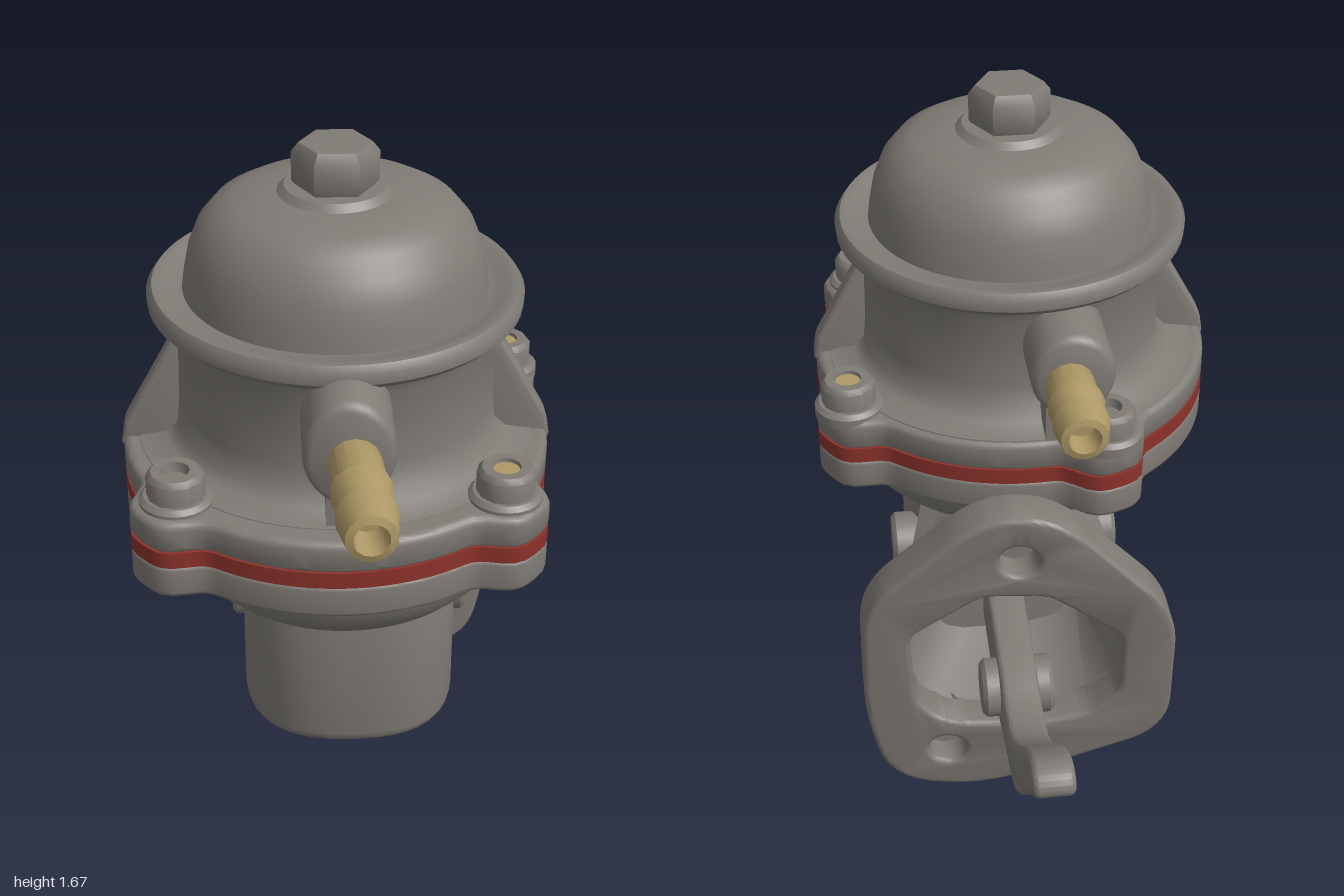
import * as THREE from 'three';
import { toCreasedNormals } from 'three/addons/utils/BufferGeometryUtils.js';

const V2 = (p) => new THREE.Vector2(p[0], p[1]);
const AX = -0.01, AZ = 0.215; // axis of the upper chamber
const FZ = 0.237; // axis of flange and bowl

// closed outline with rounded corners
function rounded(pts, r, Type = THREE.Shape) {
  const s = new Type(), n = pts.length;
  pts.forEach((p, i) => {
    const c = V2(p), a = V2(pts[(i + n - 1) % n]).sub(c), b = V2(pts[(i + 1) % n]).sub(c);
    a.setLength(Math.min(r, a.length() * 0.48)).add(c);
    b.setLength(Math.min(r, b.length() * 0.48)).add(c);
    if (i) s.lineTo(a.x, a.y); else s.moveTo(a.x, a.y);
    s.quadraticCurveTo(c.x, c.y, b.x, b.y);
  });
  s.closePath();
  return s;
}

// extrusion from z = 0 to depth, bevel kept inside the outline
function extrude(shape, depth, bevel = 0.012) {
  const g = new THREE.ExtrudeGeometry(shape, {
    depth: depth - 2 * bevel, bevelEnabled: bevel > 0, bevelSize: bevel, bevelThickness: bevel,
    bevelOffset: -bevel, bevelSegments: 4, curveSegments: 10,
  });
  return g.translate(0, 0, bevel);
}

const lathe = (pts, seg = 64) => new THREE.LatheGeometry(pts.map(V2), seg);

// skin over rings of [x, y, z] points, capped at both ends
function loft(rings) {
  const pos = [], n = rings[0].length;
  const cap = (ring, flip) => {
    const c = [0, 1, 2].map((k) => ring.reduce((s, p) => s + p[k], 0) / n);
    for (let i = 0; i < n; i++) {
      const a = ring[i], b = ring[(i + 1) % n];
      pos.push(...c, ...(flip ? b : a), ...(flip ? a : b));
    }
  };
  cap(rings[0], false);
  for (let k = 0; k + 1 < rings.length; k++) {
    for (let i = 0; i < n; i++) {
      const j = (i + 1) % n, [p, q] = [rings[k], rings[k + 1]];
      pos.push(...p[i], ...q[i], ...p[j], ...p[j], ...q[i], ...q[j]);
    }
  }
  cap(rings[rings.length - 1], true);
  const g = new THREE.BufferGeometry();
  g.setAttribute('position', new THREE.Float32BufferAttribute(pos, 3));
  return g;
}

export function createModel() {
  const model = new THREE.Group();
  const mat = (name, color) => Object.assign(new THREE.MeshStandardMaterial({ color }), { name });
  const metal = mat('cast grey metal', 0x7f7b75);
  const brass = mat('brass', 0xae9966);
  const red = mat('red gasket', 0x8c322b);

  const add = (name, geo, material = metal, x = 0, y = 0, z = 0) => {
    const m = new THREE.Mesh(toCreasedNormals(geo, 0.7), material);
    m.name = name;
    m.position.set(x, y, z);
    model.add(m);
    return m;
  };

  // lobed diaphragm flange in three layers
  const bolts = [[0.41, -0.265], [0.35, 0.305], [-0.35, 0.295], [-0.17, -0.455]];
  const lobed = [];
  for (let i = 0; i < 144; i++) {
    const t = (i / 144) * Math.PI * 2;
    let r = 0.478;
    for (const [x, z] of bolts) {
      const d = Math.atan2(Math.sin(t - Math.atan2(-z, x)), Math.cos(t - Math.atan2(-z, x)));
      r += 0.075 * Math.exp(-((d / 0.18) ** 4));
    }
    lobed.push(new THREE.Vector2(r * Math.cos(t), r * Math.sin(t)));
  }
  const layer = (name, y0, y1, bevel, material) => add(name,
    extrude(new THREE.Shape(lobed), y1 - y0, bevel).rotateX(-Math.PI / 2), material, AX, y0, FZ);
  layer('lowerFlange', 0.8, 0.882, 0.014, metal);
  layer('gasket', 0.878, 0.916, 0, red);
  layer('upperFlange', 0.912, 0.988, 0.018, metal);

  // bowl below the flange
  add('lowerBowl', lathe([[0, 0.6], [0.23, 0.61], [0.28, 0.628], [0.335, 0.658], [0.375, 0.7],
    [0.398, 0.75], [0.41, 0.82]]), metal, AX + 0.015, 0, FZ);

  // upper chamber with rim, then the dome cover
  add('upperChamber', lathe([[0.45, 0.96], [0.445, 0.99], [0.385, 1.0], [0.36, 1.025], [0.354, 1.08],
    [0.35, 1.25], [0.37, 1.29]]), metal, AX, 0, AZ);
  add('coverRim', lathe([[0.34, 1.29], [0.395, 1.295], [0.41, 1.31], [0.412, 1.335], [0.4, 1.352],
    [0.375, 1.352], [0.36, 1.34], [0.32, 1.34]]), metal, AX, 0, AZ);
  add('dome', lathe([[0.335, 1.33], [0.328, 1.38], [0.318, 1.43], [0.298, 1.48], [0.265, 1.52],
    [0.22, 1.545], [0.15, 1.555], [0.125, 1.557], [0.11, 1.572], [0, 1.575]]), metal, AX, 0, AZ);
  add('topNut', lathe([[0.08, 1.56], [0.094, 1.58], [0.094, 1.645], [0.078, 1.665], [0, 1.668]], 6)
    .rotateY(Math.PI / 6), metal, AX, 0, AZ);

  // triangular side ribs
  for (const side of [1, -1]) {
    const rib = extrude(rounded([[0.32, 0.96], [0.485, 0.96], [0.475, 1.02], [0.36, 1.23], [0.32, 1.23]], 0.015), 0.06, 0.012);
    add('sideRib', rib.translate(0, 0, -0.03).rotateY(side > 0 ? 0 : Math.PI), metal, AX, 0, AZ + 0.025);
  }

  // flange bolts with sockets, two of them showing brass
  bolts.forEach(([x, z], i) => {
    add('boltWasher', lathe([[0.08, 0.97], [0.08, 0.995], [0.07, 1.005], [0, 1.005]], 24), metal, AX + x, 0, FZ + z);
    add('boltHead', lathe([[0.063, 0.99], [0.063, 1.05], [0.053, 1.062], [0.032, 1.062], [0.028, 1.04], [0, 1.04]], 12),
      metal, AX + x, 0, FZ + z);
    if (i < 2) add('boltSocket', new THREE.CylinderGeometry(0.03, 0.03, 0.008, 12), brass, AX + x, 1.05, FZ + z);
  });

  // hose fittings, front and back
  const hose = [[0.04, -0.02], [0.054, 0], [0.056, 0.105], [0.063, 0.11], [0.063, 0.125], [0.053, 0.18],
    [0.062, 0.19], [0.062, 0.21], [0.052, 0.27], [0.036, 0.275], [0.032, 0.2], [0, 0.2]];
  const fitting = (x, y, z, dir, length, yaw, tall) => {
    const boss = lathe([[0.1, -0.2], [0.1, -0.02], [0.094, -0.006], [0.083, 0], [0, 0]], 32).rotateX(dir * Math.PI / 2);
    add('hoseBoss', boss.scale(0.95, tall, 1), metal, x, y, z);
    const nozzle = lathe(hose.map(([r, l]) => [r, l * length / 0.275]), 14).rotateX(dir * Math.PI / 2);
    add('hoseNozzle', nozzle, brass, x + 0.01, y - 0.01, z - dir * 0.005).rotation.y = yaw;
  };
  fitting(0, 1.205, 0.725, 1, 0.28, 0.07, 1.22);
  fitting(-0.09, 1.185, -0.285, -1, 0.22, 0, 1.05);
  add('bossRib', new THREE.BoxGeometry(0.11, 0.2, 0.15), metal, 0.01, 1.05, 0.575);
  add('bossRib', new THREE.BoxGeometry(0.11, 0.2, 0.14), metal, -0.09, 1.05, -0.16);

  // lower cup with pivot pin bosses
  const cup = rounded([[-0.25, -0.25], [0.25, -0.25], [0.25, 0.25], [-0.25, 0.25]], 0.24);
  add('lowerCup', extrude(cup, 0.42, 0.035).rotateX(-Math.PI / 2), metal, 0.02, 0.265, 0.25);
  add('pivotPin', lathe([[0, -0.285], [0.065, -0.285], [0.075, -0.275], [0.075, 0.275], [0.065, 0.285], [0, 0.285]], 32)
    .rotateZ(-Math.PI / 2), metal, 0.025, 0.46, 0.11);

  // hollow neck between cup and mounting plate, stepped in below
  const skew = (x, y) => -0.315 + 0.11 * (x - 0.05) - 0.08 * (y - 0.45);
  const start = [[0.15, 0.27], [0.17, 0.37], [0.21, 0.4], [0.22, 0.6], [0.13, 0.66],
    [-0.08, 0.66], [-0.18, 0.6], [-0.17, 0.4], [-0.13, 0.37], [-0.1, 0.27]];
  const end = [[0.18, 0.14], [0.2, 0.26], [0.29, 0.29], [0.31, 0.59], [0.15, 0.74],
    [-0.04, 0.74], [-0.23, 0.59], [-0.21, 0.29], [-0.11, 0.26], [-0.08, 0.15]];
  const mouth = [[0.18, 0.23], [0.24, 0.25], [0.29, 0.31], [0.3, 0.53], [0.13, 0.66],
    [-0.02, 0.66], [-0.2, 0.53], [-0.2, 0.34], [-0.13, 0.26], [-0.02, 0.23]];
  add('neck', loft([
    start.map(([x, y]) => [x, y, 0.15]),
    end.map(([x, y]) => [x, y, skew(x, y) + 0.03]),
    mouth.map(([x, y]) => [x, y, skew(x, y) + 0.03]),
    mouth.map(([x, y]) => [0.04 + (x - 0.04) * 0.75, 0.45 + (y - 0.45) * 0.7, -0.06]),
  ]));

  // mounting plate with opening and two bolt holes, skewed toward the back
  const plate = rounded([[0.13, -0.01], [0.36, 0.02], [0.415, 0.25], [0.41, 0.62], [0.13, 0.9], [-0.04, 0.9],
    [-0.325, 0.6], [-0.325, 0.2]], 0.11);
  plate.holes.push(rounded(mouth, 0.03, THREE.Path));
  const holes = [[0.045, 0.77], [0.215, 0.135]];
  for (const [x, y] of holes) {
    plate.holes.push(new THREE.Path().absarc(x, y, 0.046, 0, Math.PI * 2));
    add('holeFloor', new THREE.CylinderGeometry(0.058, 0.058, 0.03, 24).rotateX(Math.PI / 2), metal, x, y, skew(x, y) + 0.036);
  }
  const plateGeo = extrude(plate, 0.11, 0.014).translate(0, 0, -0.055);
  const p = plateGeo.attributes.position;
  for (let i = 0; i < p.count; i++) p.setZ(i, p.getZ(i) + skew(p.getX(i), p.getY(i)));
  plateGeo.computeVertexNormals();
  add('mountingPlate', plateGeo);

  // rocker lever, drawn as (-z, y) and turned sideways
  const lever = rounded([[0.03, 0.33], [0.38, 0.275], [0.5, 0.3], [0.66, 0.325], [0.73, 0.375], [0.85, 0.515], [0.93, 0.6],
    [1.0, 0.64], [0.985, 0.685], [0.93, 0.695], [0.85, 0.645], [0.68, 0.485], [0.6, 0.43], [0.5, 0.42], [0.4, 0.45], [0.03, 0.5]], 0.05);
  add('lever', extrude(lever, 0.09, 0.014).rotateY(Math.PI / 2), metal, 0.005, 0, 0);
  add('leverHub', lathe([[0, -0.085], [0.06, -0.085], [0.07, -0.075], [0.07, 0.075], [0.06, 0.085], [0, 0.085]], 32)
    .rotateZ(-Math.PI / 2), metal, 0.05, 0.365, -0.36);

  return model;
}
